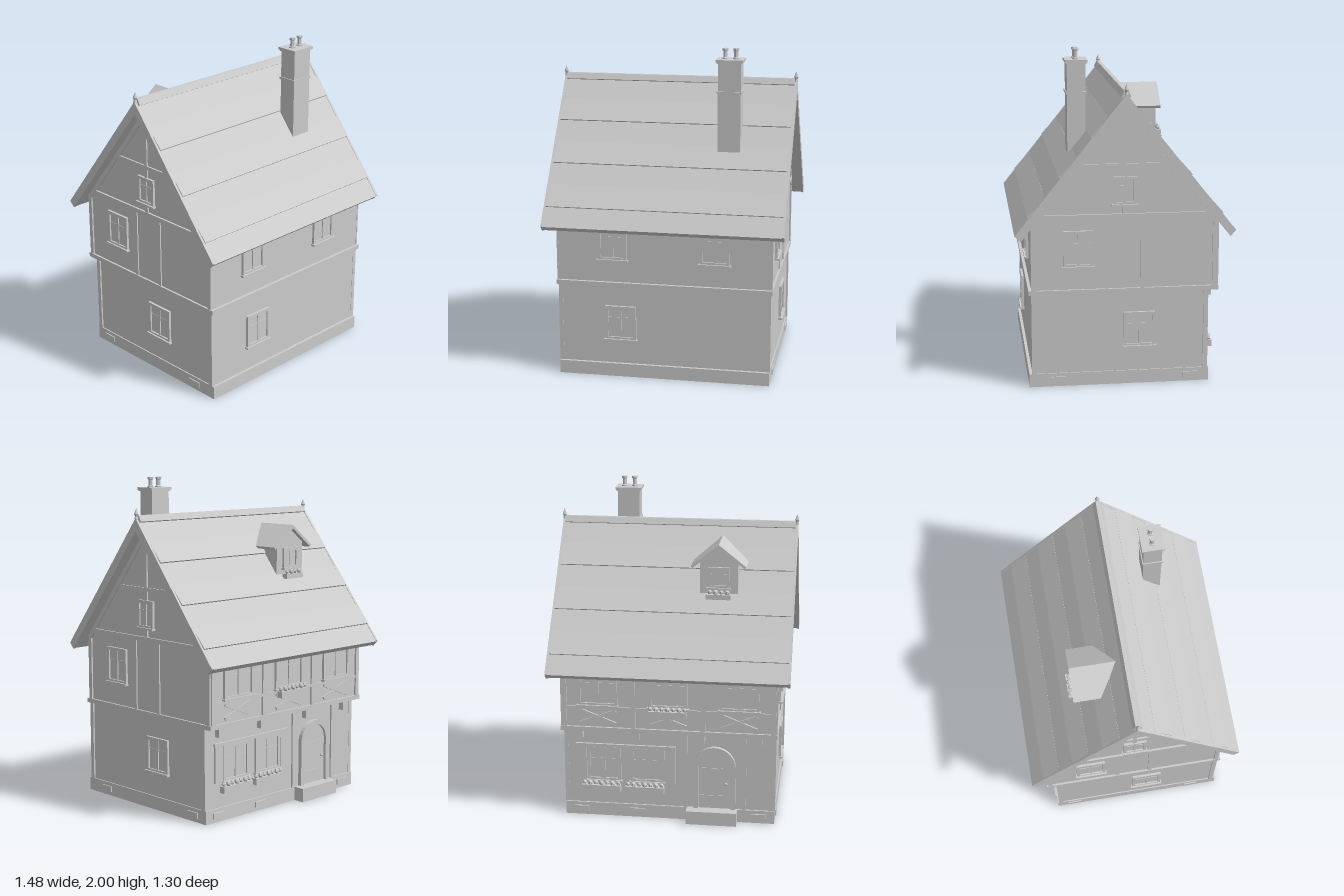
import * as THREE from 'three';

export function createModel() {
  const model = new THREE.Group();
  model.name = 'timberFramedHouse';
  const stone = new THREE.MeshStandardMaterial({ color: 0xcccccc });
  stone.name = 'paleGrey';
  stone.flatShading = true;

  const add = (parent, name, geo, x = 0, y = 0, z = 0) => {
    const m = new THREE.Mesh(geo, stone);
    m.name = name;
    m.position.set(x, y, z);
    parent.add(m);
    return m;
  };
  // box given by its limits
  const span = (p, name, x0, x1, y0, y1, z0, z1) =>
    add(p, name, new THREE.BoxGeometry(x1 - x0, y1 - y0, z1 - z0), (x0 + x1) / 2, (y0 + y1) / 2, (z0 + z1) / 2);
  // flat outline extruded and centred along z
  const prism = (pts, depth) => {
    const s = new THREE.Shape(pts.map(([x, y]) => new THREE.Vector2(x, y)));
    return new THREE.ExtrudeGeometry(s, { depth, bevelEnabled: false }).translate(0, 0, -depth / 2);
  };
  // bar between two points on a wall plane
  const bar = (p, name, x0, y0, x1, y1, w, d) => {
    const m = add(p, name, new THREE.BoxGeometry(Math.hypot(x1 - x0, y1 - y0), w, d), (x0 + x1) / 2, (y0 + y1) / 2, d / 2);
    m.rotation.z = Math.atan2(y1 - y0, x1 - x0);
    return m;
  };
  // wall frame: local +z points out of the wall
  const wall = (name, x, z, turn) => {
    const g = new THREE.Group();
    g.name = name;
    g.position.set(x, 0, z);
    g.rotation.y = turn;
    model.add(g);
    return g;
  };

  // casement window with frame, mullion, glazing bar and sill
  function windowUnit(p, cx, y0, w, h, sill = true, z = 0) {
    const g = new THREE.Group();
    g.name = 'window';
    g.position.set(cx, y0, z);
    p.add(g);
    const t = 0.018, d = 0.015, a = w / 2;
    span(g, 'glass', -a + t, a - t, t, h - t, -0.005, 0.005);
    for (const s of [-1, 1]) span(g, 'jamb', s * (a - t / 2) - t / 2, s * (a - t / 2) + t / 2, 0, h, -0.005, d);
    span(g, 'frameHead', -a + t, a - t, h - t, h, -0.005, d);
    span(g, 'frameFoot', -a + t, a - t, 0, t, -0.005, d);
    span(g, 'mullion', -0.006, 0.006, t, h - t, 0, 0.011);
    span(g, 'glazingBar', -a + t, a - t, h * 0.64, h * 0.64 + 0.006, 0, 0.008);
    if (sill) span(g, 'sill', -a - 0.008, a + 0.008, -0.006, 0.006, -0.005, 0.026);
  }

  function flowerBox(p, cx, y, w, z = 0, h = 0.04) {
    const g = new THREE.Group();
    g.name = 'flowerBox';
    g.position.set(cx, y, z);
    p.add(g);
    span(g, 'trough', -w / 2, w / 2, 0, h, 0.012, 0.05);
    const n = Math.round(w / 0.035);
    for (let i = 0; i < n; i++)
      add(g, 'flower', new THREE.IcosahedronGeometry(0.015 + 0.003 * (i % 2), 0), (i - (n - 1) / 2) * 0.035, h + 0.012, 0.031 + 0.004 * (i % 2));
  }

  // masonry and wall bodies
  span(model, 'plinth', -0.65, 0.65, 0, 0.082, -0.515, 0.572);
  span(model, 'groundStorey', -0.643, 0.643, 0.08, 0.59, -0.505, 0.554);
  add(model, 'upperStorey', prism([[-0.554, 0.59], [0.554, 0.59], [0.554, 1.005], [0, 1.7], [-0.554, 1.005]], 1.3).rotateY(Math.PI / 2));
  span(model, 'jettyBeam', -0.662, 0.662, 0.575, 0.602, -0.567, 0.572);
  span(model, 'doorStep', -0.42, -0.11, 0, 0.085, -0.585, -0.51);

  // gable walls: same timbering and windows, turned half round
  for (const s of [1, -1]) {
    const low = wall('lowerGableWall', s * 0.643, 0, s * Math.PI / 2);
    windowUnit(low, 0.09, 0.235, 0.19, 0.215);
    for (const z of [-0.4, 0.4]) span(low, 'plinthStone', z - 0.045, z + 0.045, 0.025, 0.06, 0, 0.014);
    const up = wall('upperGableWall', s * 0.65, 0, s * Math.PI / 2);
    windowUnit(up, -0.275, 0.74, 0.18, 0.22);
    windowUnit(up, 0, 1.11, 0.14, 0.17);
    for (const x of [-0.105, 0.105]) span(up, 'stud', x - 0.012, x + 0.012, 0.602, 1.03, 0, 0.008);
    for (const x of [-0.542, 0.542]) span(up, 'cornerPost', x - 0.014, x + 0.014, 0.602, 1.03, 0, 0.01);
    span(up, 'tieBeam', -0.535, 0.535, 1.03, 1.057, 0, 0.012);
    span(up, 'collarBeam', -0.285, 0.285, 1.335, 1.357, 0, 0.01);
    span(up, 'kingPostTop', -0.012, 0.012, 1.28, 1.68, 0, 0.009);
    span(up, 'kingPostFoot', -0.012, 0.012, 1.057, 1.11, 0, 0.009);
    for (const r of [1, -1]) bar(up, 'rafter', r * 0.545, 0.995, 0, 1.68, 0.03, 0.012);
    for (const z of [0.542, -0.493]) span(model, 'groundCornerPost', s * 0.64 - 0.013, s * 0.64 + 0.013, 0.08, 0.58, z - 0.014, z + 0.014);
  }

  // plain long wall
  const front = wall('plainWall', 0, 0.554, 0);
  for (const x of [-0.313, 0.313]) windowUnit(front, x, 0.74, 0.18, 0.22);
  windowUnit(front, -0.265, 0.235, 0.19, 0.215);

  // entrance side, upper storey
  const backUp = wall('upperEntranceWall', 0, -0.554, Math.PI);
  for (const x of [-0.43, 0, 0.43]) {
    windowUnit(backUp, x, 0.74, 0.24, 0.22);
    bar(backUp, 'crossBrace', x - 0.11, 0.625, x + 0.11, 0.71, 0.02, 0.01);
    bar(backUp, 'crossBrace', x - 0.11, 0.71, x + 0.11, 0.625, 0.02, 0.012);
  }
  for (const x of [-0.636, -0.215, 0.215, 0.636]) span(backUp, 'post', x - 0.014, x + 0.014, 0.602, 1.0, 0, 0.012);
  span(backUp, 'sillRail', -0.63, 0.63, 0.715, 0.733, 0, 0.009);
  flowerBox(backUp, 0, 0.695, 0.23, 0.01);

  // entrance side, ground storey
  const backLow = wall('lowerEntranceWall', 0, -0.505, Math.PI);
  for (const x of [-0.405, -0.135]) {
    windowUnit(backLow, x, 0.235, 0.21, 0.22);
    flowerBox(backLow, x - 0.015, 0.175, 0.24);
  }
  for (const x of [-0.545, 0.005]) span(backLow, 'shutter', x - 0.032, x + 0.032, 0.235, 0.455, 0, 0.014);
  span(backLow, 'windowRail', -0.58, 0.04, 0.455, 0.475, 0, 0.014);
  for (const x of [-0.55, -0.2, 0.2, 0.55]) {
    span(backLow, 'corbel', x - 0.02, x + 0.02, 0.515, 0.576, 0, 0.036);
    span(backLow, 'plinthStone', x - 0.045, x + 0.045, 0.025, 0.06, 0, 0.02);
  }
  for (const x of [0.1, 0.46]) span(backLow, 'doorPost', x - 0.013, x + 0.013, 0.082, 0.576, 0, 0.01);

  // arched door with surround, boards, hinges and knob
  const arch = (C, r, y0, yc) => {
    const s = new C();
    s.moveTo(-r, y0);
    s.lineTo(r, y0);
    s.lineTo(r, yc);
    s.absarc(0, yc, r, 0, Math.PI, false);
    s.closePath();
    return s;
  };
  const surround = arch(THREE.Shape, 0.128, 0.083, 0.36);
  surround.holes.push(arch(THREE.Path, 0.1, 0.084, 0.36));
  const opts = d => ({ depth: d, bevelEnabled: false, curveSegments: 8 });
  add(backLow, 'doorSurround', new THREE.ExtrudeGeometry(surround, opts(0.025)), 0.28);
  add(backLow, 'doorLeaf', new THREE.ExtrudeGeometry(arch(THREE.Shape, 0.1, 0.084, 0.36), opts(0.008)), 0.28);
  for (const y of [0.16, 0.34]) span(backLow, 'hinge', 0.19, 0.33, y, y + 0.01, 0.006, 0.012);
  add(backLow, 'doorKnob', new THREE.IcosahedronGeometry(0.01, 1), 0.35, 0.25, 0.015);

  // main roof, bargeboards and raised courses
  const chevron = [[0.652, 0.953], [0, 1.77], [-0.652, 0.953], [-0.618, 0.925], [0, 1.7], [0.618, 0.925]];
  add(model, 'roof', prism(chevron, 1.44).rotateY(Math.PI / 2));
  const pitch = Math.atan(1.254);
  for (const s of [1, -1]) {
    const barge = chevron.map(([x, y], i) => [x, y + (i < 3 ? 0.004 : -0.004)]);
    add(model, 'bargeboard', prism(barge, 0.016).rotateY(Math.PI / 2), s * 0.724);
    for (const z of [0.152, 0.337, 0.522]) {
      const c = add(model, 'roofCourse', new THREE.BoxGeometry(1.434, 0.01, 0.152), 0, 1.771 - 1.254 * z, s * z);
      c.rotation.x = s * (pitch - 0.06);
    }
    // ridge finials
    const profile = [[0, -0.03], [0.012, -0.025], [0.008, -0.01], [0.014, 0.005], [0.007, 0.02], [0, 0.04]];
    add(model, 'finial', new THREE.LatheGeometry(profile.map(([r, y]) => new THREE.Vector2(r, y)), 8), s * 0.724, 1.795, 0);
  }
  add(model, 'ridgeCap', prism([[0.03, 1.755], [0.012, 1.79], [-0.012, 1.79], [-0.03, 1.755], [0, 1.74]], 1.43).rotateY(Math.PI / 2));

  // chimney with string band, cap and two pots
  const stack = new THREE.Group();
  stack.name = 'chimney';
  stack.position.set(0.355, 0, 0.26);
  model.add(stack);
  span(stack, 'shaft', -0.069, 0.069, 1.36, 1.92, -0.055, 0.055);
  span(stack, 'band', -0.075, 0.075, 1.732, 1.747, -0.061, 0.061);
  span(stack, 'capLower', -0.076, 0.076, 1.913, 1.921, -0.062, 0.062);
  span(stack, 'cap', -0.082, 0.082, 1.921, 1.937, -0.067, 0.067);
  const pot = [[0, 0], [0.02, 0], [0.02, 0.008], [0.014, 0.012], [0.013, 0.048], [0.019, 0.052], [0.019, 0.064], [0, 0.064]];
  for (const x of [-0.032, 0.032])
    add(stack, 'chimneyPot', new THREE.LatheGeometry(pot.map(([r, y]) => new THREE.Vector2(r, y)), 6), x, 1.936, 0);

  // dormer on the entrance slope
  const dormer = wall('dormer', -0.275, -0.3, Math.PI);
  add(dormer, 'dormerBody', prism([[-0.115, 1.38], [0.115, 1.38], [0.115, 1.59], [0, 1.685], [-0.115, 1.59]], 0.2), 0, 0, -0.1);
  add(dormer, 'dormerRoof', prism([[0.167, 1.57], [0, 1.702], [-0.167, 1.57], [-0.16, 1.555], [0, 1.68], [0.16, 1.555]], 0.275), 0, 0, -0.1075);
  windowUnit(dormer, 0, 1.43, 0.13, 0.13);
  flowerBox(dormer, 0, 1.37, 0.15, 0, 0.03);

  return model;
}
